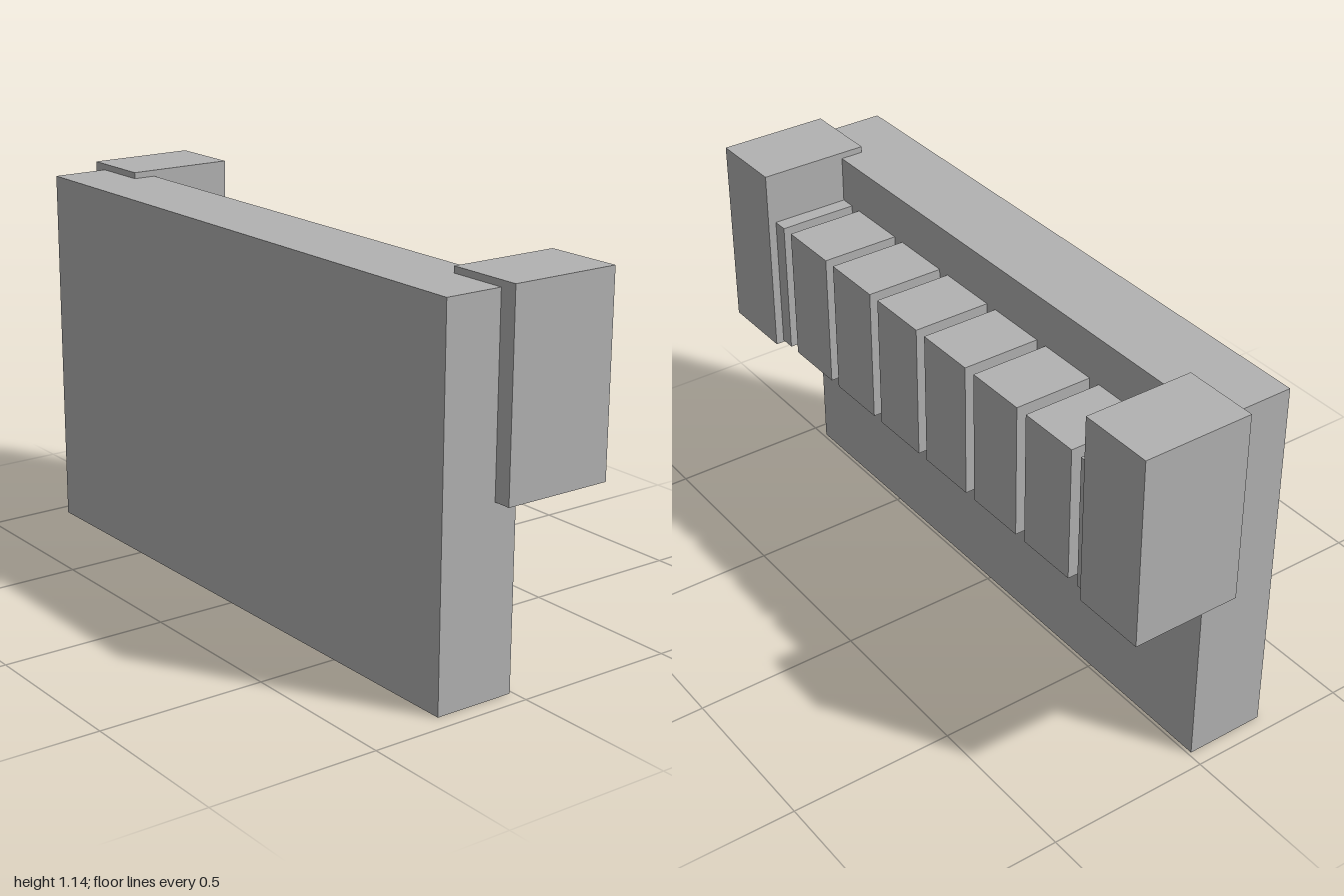
import * as THREE from 'three';

export function createModel() {
  const model = new THREE.Group();
  model.name = 'wallSection';
  const grey = new THREE.MeshStandardMaterial({ color: 0xb2b2b2 });
  grey.name = 'plain grey';

  // Box given by its lowest and highest corners
  function block(name, [x0, y0, z0], [x1, y1, z1]) {
    const mesh = new THREE.Mesh(new THREE.BoxGeometry(x1 - x0, y1 - y0, z1 - z0), grey);
    mesh.position.set((x0 + x1) / 2, (y0 + y1) / 2, (z0 + z1) / 2);
    mesh.name = name;
    model.add(mesh);
  }

  // Upright front slab
  block('frontSlab', [-0.95, 0, 0.01], [0.947, 1.117, 0.256]);

  // Tall blocks at both ends, biting into the back of the slab
  block('rightEndBlock', [-1, 0.553, -0.256], [-0.768, 1.136, 0.081]);
  block('leftEndBlock', [0.766, 0.553, -0.256], [1, 1.136, 0.081]);

  // Row of evenly spaced teeth; the outer two run into the end blocks
  const pitch = 0.234, width = 0.195;
  for (let i = 0; i < 8; i++) {
    const x = -0.002 + (i - 3.5) * pitch;
    block(`tooth${i + 1}`, [x - width / 2, 0.559, -0.231], [x + width / 2, 0.976, 0.012]);
  }

  return model;
}
